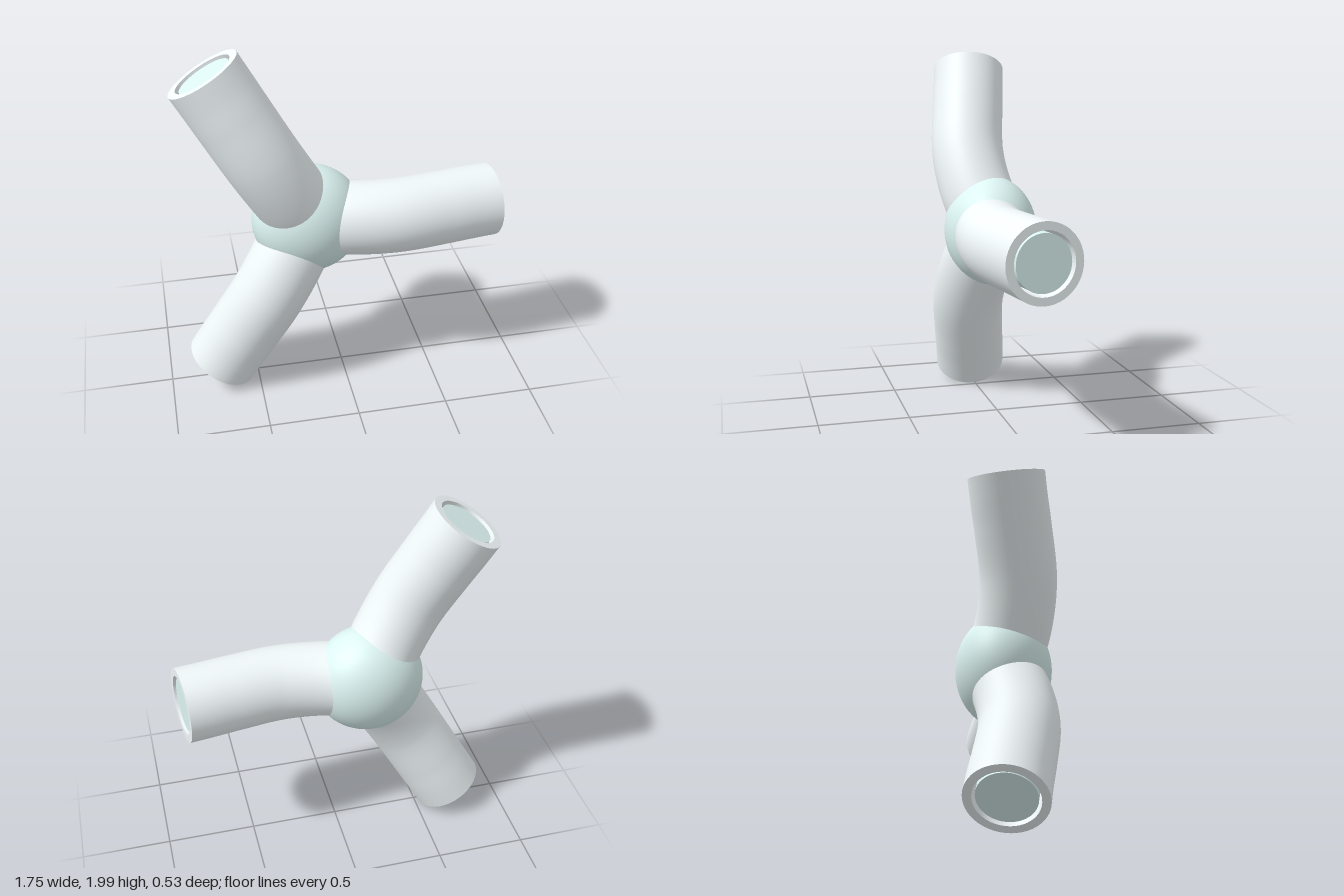
import * as THREE from 'three';

const OUTER = 0.205, BORE = 0.162, CORE = 0.147;
const white = new THREE.MeshStandardMaterial({ color: 0xf0f7f9 });
const whiteInside = new THREE.MeshStandardMaterial({ color: 0xf0f7f9, side: THREE.BackSide });
const paleTeal = new THREE.MeshStandardMaterial({ color: 0xdcf4f2 });

function addMesh(parent, name, geometry, material) {
  const mesh = new THREE.Mesh(geometry, material);
  mesh.name = name;
  parent.add(mesh);
  return mesh;
}

// Curve from the hub outwards along +x, bowed towards the front
function armCurve(points) {
  return new THREE.CatmullRomCurve3(points.map(([r, z]) => new THREE.Vector3(r, 0, z)));
}

// Place a flat end piece across the end of the arm
function faceOutward(mesh, position, tangent) {
  mesh.position.copy(position);
  mesh.quaternion.setFromUnitVectors(new THREE.Vector3(0, 0, 1), tangent);
}

function createArm(name) {
  const arm = new THREE.Group();
  arm.name = name;
  const curve = armCurve([[0.03, -0.03], [0.22, 0.033], [0.475, 0.061], [0.75, 0.03], [0.9, 0.007], [1.03, -0.01]]);
  const end = curve.getPoint(1);
  const tangent = curve.getTangent(1);

  // Hollow sleeve: outside, bore and flat rim
  addMesh(arm, 'sleeve', new THREE.TubeGeometry(curve, 40, OUTER, 48), white);
  addMesh(arm, 'sleeveBore', new THREE.TubeGeometry(curve, 40, BORE, 48), whiteInside);
  faceOutward(addMesh(arm, 'sleeveRim', new THREE.RingGeometry(BORE, OUTER, 48), white), end, tangent);

  // Core rod ending just inside the rim
  const core = addMesh(arm, 'core', new THREE.TubeGeometry(curve, 40, CORE, 48), paleTeal);
  core.position.copy(tangent).multiplyScalar(-0.012);
  const coreEnd = end.clone().addScaledVector(tangent, -0.012);
  faceOutward(addMesh(arm, 'coreEnd', new THREE.CircleGeometry(CORE, 48), paleTeal), coreEnd, tangent);
  return arm;
}

export function createModel() {
  const model = new THREE.Group();
  model.name = 'threeWayConnector';

  const joint = new THREE.Group();
  joint.name = 'joint';
  joint.position.set(-0.185, 1, 0);
  model.add(joint);

  // Slightly flattened hub
  const hub = addMesh(joint, 'hub', new THREE.SphereGeometry(1, 64, 40), paleTeal);
  hub.scale.set(0.307, 0.307, 0.257);
  hub.position.z = -0.011;

  // Three equal arms around the hub
  ['leftArm', 'upperRightArm', 'lowerRightArm'].forEach((name, i) => {
    const arm = createArm(name);
    arm.rotation.z = (i * Math.PI * 2) / 3;
    joint.add(arm);
  });
  return model;
}
